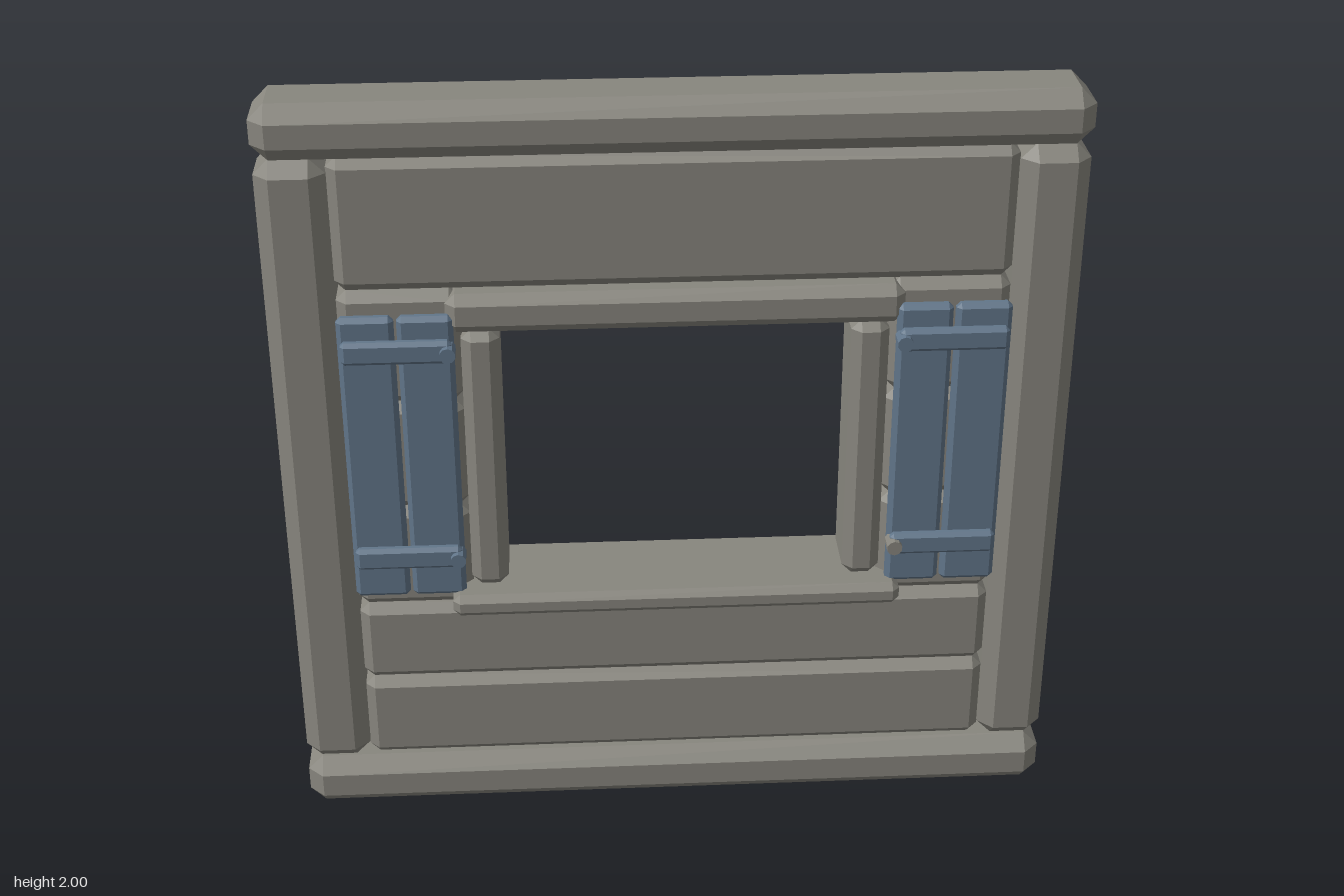
import * as THREE from 'three';
import { ConvexGeometry } from 'three/addons/geometries/ConvexGeometry.js';

const timber = new THREE.MeshStandardMaterial({ color: 0x88867e });
timber.name = 'weathered timber';
const paint = new THREE.MeshStandardMaterial({ color: 0x62768a });
paint.name = 'blue paint';

// Box with all edges chamfered by c, given by its [min, max] range on each axis
function beam(name, material, xr, yr, zr, c) {
  const ranges = [xr, yr, zr];
  const half = ranges.map(([a, b]) => (b - a) / 2);
  const points = [];
  for (const sx of [-1, 1]) for (const sy of [-1, 1]) for (const sz of [-1, 1]) {
    for (let axis = 0; axis < 3; axis++) {
      const p = [sx, sy, sz].map((s, i) => s * (half[i] - (i === axis ? 0 : c)));
      points.push(new THREE.Vector3(...p));
    }
  }
  const mesh = new THREE.Mesh(new ConvexGeometry(points), material);
  mesh.position.set(...ranges.map(([a, b]) => (a + b) / 2));
  mesh.name = name;
  return mesh;
}

// Mirrors an x range to the chosen side
const side = (s, a, b) => (s > 0 ? [a, b] : [-b, -a]);

export function createModel() {
  const model = new THREE.Group();
  model.name = 'shutteredWindowWall';

  // Outer frame
  const frame = new THREE.Group();
  frame.name = 'outerFrame';
  frame.add(beam('bottomBeam', timber, [-0.995, 0.995], [0, 0.145], [-0.102, 0.102], 0.04));
  frame.add(beam('topBeam', timber, [-0.995, 0.995], [1.86, 2], [-0.102, 0.102], 0.04));
  for (const s of [-1, 1]) {
    frame.add(beam(s > 0 ? 'leftPost' : 'rightPost', timber,
      side(s, 0.825, 0.995), [0.145, 1.86], [-0.092, 0.092], 0.038));
  }
  model.add(frame);

  // Wall planks: full width above and below, short ones beside the window
  const planks = new THREE.Group();
  planks.name = 'wallPlanks';
  for (const [y0, y1] of [[0.145, 0.39], [0.39, 0.62], [1.515, 1.86]]) {
    planks.add(beam('longPlank', timber, [-0.826, 0.826], [y0, y1], [-0.07, 0.07], 0.026));
  }
  for (const s of [-1, 1]) {
    for (const [y0, y1] of [[0.62, 0.91], [0.91, 1.21], [1.21, 1.515]]) {
      planks.add(beam('shortPlank', timber, side(s, 0.525, 0.826), [y0, y1], [-0.07, 0.07], 0.026));
    }
  }
  model.add(planks);

  // Window surround
  const surround = new THREE.Group();
  surround.name = 'windowSurround';
  surround.add(beam('lintel', timber, [-0.562, 0.562], [1.41, 1.512], [-0.1, 0.1], 0.025));
  surround.add(beam('sill', timber, [-0.578, 0.578], [0.62, 0.682], [-0.14, 0.14], 0.018));
  for (const s of [-1, 1]) {
    surround.add(beam('jamb', timber, side(s, 0.433, 0.528), [0.682, 1.412], [-0.09, 0.09], 0.025));
  }
  model.add(surround);

  // Open shutters: two boards, two battens and hinge pegs each
  const pegShape = new THREE.CylinderGeometry(0.02, 0.02, 0.05, 10).rotateX(Math.PI / 2).toNonIndexed();
  pegShape.computeVertexNormals();
  for (const s of [-1, 1]) {
    const shutter = new THREE.Group();
    shutter.name = s > 0 ? 'leftShutter' : 'rightShutter';
    for (const [a, b] of [[0.543, 0.68], [0.687, 0.826]]) {
      shutter.add(beam('shutterBoard', paint, side(s, a, b), [0.67, 1.462], [0.066, 0.102], 0.012));
    }
    for (const y of [0.795, 1.377]) {
      shutter.add(beam('batten', paint, side(s, 0.548, 0.818), [y - 0.03, y + 0.03], [0.096, 0.127], 0.01));
      const peg = new THREE.Mesh(pegShape, s > 0 && y < 1 ? timber : paint);
      peg.name = 'hingePeg';
      peg.position.set(s * 0.558, y, 0.117);
      shutter.add(peg);
    }
    model.add(shutter);
  }
  return model;
}
